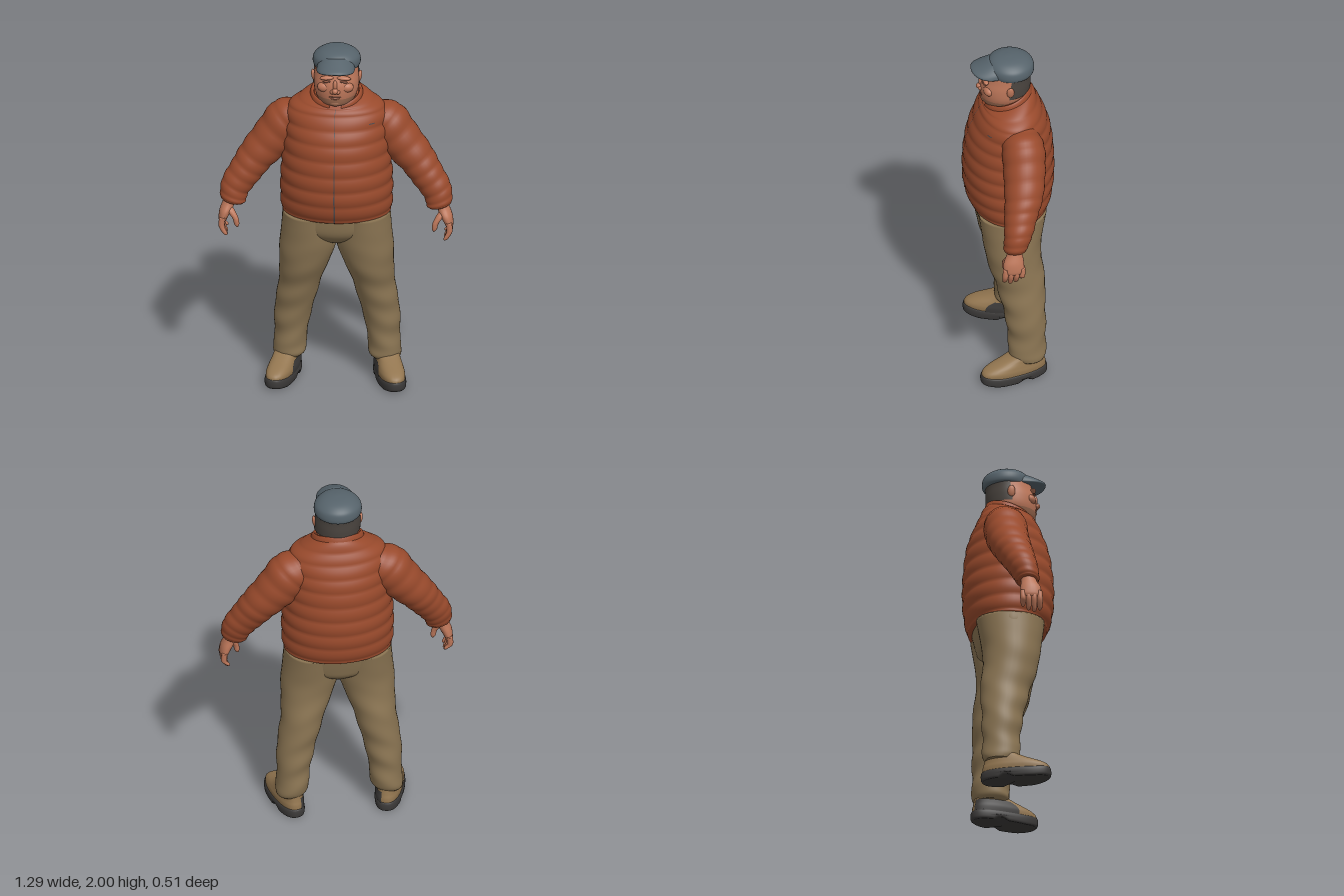
import * as THREE from 'three';

const mat = (name, color, side = THREE.FrontSide) => {
  const m = new THREE.MeshStandardMaterial({ color, side });
  m.name = name;
  return m;
};

// Smooth interpolation between section rows; t counts in rows
function sample(rows, t) {
  const i = Math.min(Math.floor(t), rows.length - 2), f = t - i;
  const at = k => rows[Math.max(0, Math.min(rows.length - 1, k))];
  return [0, 1, 2, 3, 4, 5, 6].map(c => {
    const [a, b, d, e] = [i - 1, i, i + 1, i + 2].map(k => at(k)[c] || 0);
    return b + 0.5 * f * (d - a + f * (2 * a - 5 * b + 4 * d - e + f * (3 * (b - d) + e - a)));
  });
}

// Skin over elliptical sections listed from bottom to top:
// [x, y, z, radiusX, radiusZ, roll in xy, slope along z]
function loft(rows, { side = 1, seg = 32, steps = 6, arc, span, grow = 0, puff = [0, 1], exp = 1, bend } = {}) {
  const [a0, a1] = arc || [0, Math.PI * 2];
  const [t0, t1] = span || [0, rows.length - 1];
  const rings = Math.max(2, Math.ceil((t1 - t0) * steps));
  const cols = arc ? seg + 1 : seg;
  const pos = [], idx = [], p = new THREE.Vector3();
  const power = v => Math.sign(v) * Math.abs(v) ** exp;
  const add = (s, u, w) => {
    p.set(s[0] + u * Math.cos(s[5]), s[1] + u * Math.sin(s[5]) + w * s[6], s[2] + w);
    if (bend) bend(p);
    pos.push(p.x * side, p.y, p.z);
  };
  const tri = (a, b, c) => (side > 0 ? idx.push(a, b, c) : idx.push(a, c, b));
  for (let i = 0; i <= rings; i++) {
    const t = t0 + (t1 - t0) * i / rings, s = sample(rows, t);
    const swell = 1 + puff[0] * (Math.abs(Math.sin(t * Math.PI * puff[1])) - 0.6);
    for (let j = 0; j < cols; j++) {
      const a = a0 + (a1 - a0) * j / seg;
      add(s, (s[3] * swell + grow) * power(Math.cos(a)), (s[4] * swell + grow) * power(Math.sin(a)));
    }
  }
  for (let i = 0; i < rings; i++) {
    for (let j = 0; j < seg; j++) {
      const a = i * cols + j, b = i * cols + (j + 1) % cols, c = a + cols, d = b + cols;
      tri(a, c, b);
      tri(b, c, d);
    }
  }
  if (!arc) {
    // Closed ends
    const low = pos.length / 3, high = low + 1, last = rings * cols;
    add(sample(rows, t0), 0, 0);
    add(sample(rows, t1), 0, 0);
    for (let j = 0; j < cols; j++) {
      tri(low, j, (j + 1) % cols);
      tri(high, last + (j + 1) % cols, last + j);
    }
  }
  const g = new THREE.BufferGeometry();
  g.setAttribute('position', new THREE.Float32BufferAttribute(pos, 3));
  g.setIndex(idx);
  g.computeVertexNormals();
  return g;
}

export function createModel() {
  const model = new THREE.Group();
  model.name = 'standingMan';
  const jacket = mat('rust jacket', 0x994a2c, THREE.DoubleSide), pants = mat('khaki trousers', 0x8b7553);
  const skin = mat('skin', 0xbd775a), shade = mat('dark skin', 0x8c5540), stubble = mat('stubble', 0x9c6a50);
  const capMat = mat('slate cap', 0x56636b), hair = mat('hair', 0x4a443f, THREE.DoubleSide);
  const boot = mat('tan boot', 0x937650), rubber = mat('dark rubber', 0x3c3a39, THREE.DoubleSide);
  const zip = mat('zip metal', 0x50484a, THREE.DoubleSide);
  const put = (name, geo, m) => {
    const mesh = new THREE.Mesh(geo, m);
    mesh.name = name;
    model.add(mesh);
    return mesh;
  };
  const blob = (name, m, x, y, z, rx, ry, rz, tilt = 0) => {
    const mesh = put(name, new THREE.SphereGeometry(1, 20, 14), m);
    mesh.position.set(x, y, z);
    mesh.scale.set(rx, ry, rz);
    mesh.rotation.z = tilt;
  };
  const PI = Math.PI;

  // Padded jacket body, zip and chest pocket
  const torso = [
    [0, 1.02, -0.005, 0.285, 0.2], [0, 1.045, -0.003, 0.302, 0.222], [0, 1.13, 0, 0.308, 0.243],
    [0, 1.22, 0, 0.308, 0.25], [0, 1.31, 0, 0.303, 0.25], [0, 1.4, -0.002, 0.296, 0.243],
    [0, 1.49, -0.005, 0.289, 0.231], [0, 1.57, -0.01, 0.283, 0.208], [0, 1.645, -0.012, 0.27, 0.177],
    [0, 1.695, -0.008, 0.215, 0.152, 0, -0.1], [0, 1.735, 0, 0.14, 0.13, 0, -0.3], [0, 1.75, 0, 0.09, 0.09, 0, -0.3],
  ];
  const pad = { puff: [0.028, 1], steps: 8 };
  put('jacketBody', loft(torso, { ...pad, seg: 64 }), jacket);
  put('lowerZip', loft(torso, { ...pad, seg: 2, arc: [PI / 2 - 0.013, PI / 2 + 0.013], span: [0.6, 3.2], grow: 0.003 }), zip);
  put('upperZip', loft(torso, { ...pad, seg: 2, arc: [PI / 2 - 0.006, PI / 2 + 0.006], span: [3.2, 9.4], grow: 0.002 }), zip);
  put('chestPocketZip', loft(torso, { ...pad, seg: 4, arc: [0.72, 0.86], span: [7.35, 7.43], grow: 0.004 }), zip);

  // Standing collar, open at the throat
  put('collar', loft([
    [0, 1.69, 0, 0.145, 0.135, 0, -0.35], [0, 1.715, 0.003, 0.148, 0.137, 0, -0.35], [0, 1.745, 0.006, 0.141, 0.13, 0, -0.35],
    [0, 1.755, 0.006, 0.132, 0.122, 0, -0.35], [0, 1.745, 0.006, 0.123, 0.114, 0, -0.35], [0, 1.69, 0, 0.11, 0.105, 0, -0.35],
  ], { seg: 48, arc: [PI / 2 + 0.22, PI * 2.5 - 0.22] }), jacket);

  // Hips
  put('hips', loft([
    [0, 0.86, -0.01, 0.1, 0.11], [0, 0.9, -0.005, 0.23, 0.155], [0, 0.95, 0, 0.295, 0.178], [0, 1.04, -0.005, 0.294, 0.196],
  ], { seg: 48 }), pants);

  for (const side of [1, -1]) {
    const label = side > 0 ? 'left' : 'right';

    // Padded sleeve from cuff to shoulder
    put(label + 'Sleeve', loft([
      [0.572, 1.08, 0.045, 0.058, 0.055, 0.25], [0.568, 1.1, 0.043, 0.074, 0.066, 0.32], [0.553, 1.165, 0.025, 0.083, 0.078, 0.52],
      [0.5, 1.245, 0.003, 0.091, 0.092, 0.58], [0.44, 1.33, -0.022, 0.101, 0.106, 0.58], [0.345, 1.44, -0.04, 0.117, 0.116, 0.62],
      [0.265, 1.545, -0.045, 0.122, 0.118, 0.8], [0.18, 1.58, -0.04, 0.1, 0.1, 1],
    ], { side, puff: [0.05, 1.5], steps: 10, seg: 36 }), jacket);

    // Hand with four fingers and a thumb
    put(label + 'Palm', loft([
      [0.622, 0.965, 0.058, 0.018, 0.045], [0.62, 0.985, 0.058, 0.025, 0.056], [0.606, 1.03, 0.058, 0.034, 0.056],
      [0.588, 1.075, 0.05, 0.036, 0.043], [0.572, 1.12, 0.045, 0.035, 0.04],
    ], { side, seg: 20 }), skin);
    for (let i = 0; i < 4; i++) {
      const z = 0.012 + 0.031 * i, tip = [0.915, 0.895, 0.888, 0.898][i];
      put(label + 'Finger', loft([
        [0.6, tip, z + 0.004, 0.005, 0.005], [0.607, tip + 0.012, z + 0.004, 0.013, 0.013],
        [0.626, 0.95, z + 0.002, 0.016, 0.016], [0.622, 1.0, z, 0.017, 0.016],
      ], { side, seg: 12 }), skin);
    }
    put(label + 'Thumb', loft([
      [0.54, 0.945, 0.1, 0.005, 0.005], [0.543, 0.96, 0.1, 0.014, 0.014], [0.55, 0.995, 0.098, 0.017, 0.017],
      [0.575, 1.035, 0.085, 0.022, 0.02], [0.59, 1.06, 0.07, 0.018, 0.018],
    ], { side, seg: 12 }), skin);

    // Trouser leg with soft folds
    put(label + 'TrouserLeg', loft([
      [0.27, 0.12, -0.07, 0.082, 0.09], [0.262, 0.145, -0.065, 0.092, 0.105], [0.258, 0.2, -0.067, 0.088, 0.102],
      [0.251, 0.3, -0.064, 0.095, 0.107], [0.24, 0.4, -0.058, 0.104, 0.113], [0.22, 0.5, -0.047, 0.111, 0.125],
      [0.2, 0.6, -0.037, 0.118, 0.138], [0.178, 0.71, -0.012, 0.137, 0.15], [0.158, 0.82, 0, 0.156, 0.158],
      [0.15, 0.92, 0, 0.154, 0.172], [0.147, 1.03, -0.003, 0.148, 0.188],
    ], {
      side, seg: 36, bend: p => {
        const fold = 0.006 * Math.sin(p.y * 42 + p.x * 18 + p.z * 9) * Math.max(0, 1 - p.y);
        p.x += fold * 0.6;
        p.z += fold;
      },
    }), pants);

    // Boot with toes turned out
    const turn = p => {
      const { x, z } = p;
      p.x = 0.292 + x * 0.964 + z * 0.266;
      p.z = 0.012 - x * 0.266 + z * 0.964;
    };
    const upper = [
      [0, 0.04, 0, 0.07, 0.188], [0, 0.075, 0, 0.073, 0.186], [0, 0.1, -0.014, 0.069, 0.166],
      [0, 0.13, -0.052, 0.064, 0.123], [0, 0.16, -0.085, 0.065, 0.092], [0, 0.2, -0.086, 0.06, 0.08],
    ];
    put(label + 'Boot', loft(upper, { side, exp: 0.85, bend: turn }), boot);
    put(label + 'InnerHeelGuard', loft(upper, {
      side, exp: 0.85, seg: 14, arc: [PI * 0.92, PI * 1.42], span: [0, 2.6], grow: 0.004, bend: turn,
    }), rubber);
    put(label + 'Sole', loft([
      [0, 0, 0, 0.07, 0.183], [0, 0.01, 0, 0.076, 0.193], [0, 0.035, 0, 0.078, 0.195], [0, 0.052, 0, 0.074, 0.191], [0, 0.056, 0, 0.064, 0.18],
    ], {
      side, exp: 0.82, seg: 48, bend: p => {
        if (p.y < 0.025 && Math.abs(p.z + 0.045) < 0.035) p.y += 0.016;
        if (p.z > 0.1) p.y += (p.z - 0.1) * 0.12;
        turn(p);
      },
    }), rubber);

    // Ear, brow, eye, cheek
    blob(label + 'Ear', skin, side * 0.127, 1.832, 0.005, 0.012, 0.034, 0.021, side * -0.15);
    blob(label + 'Brow', skin, side * 0.046, 1.872, 0.131, 0.04, 0.012, 0.017, side * -0.08);
    blob(label + 'Eye', shade, side * 0.046, 1.852, 0.137, 0.023, 0.005, 0.011, side * -0.1);
    blob(label + 'Cheek', skin, side * 0.058, 1.812, 0.116, 0.042, 0.03, 0.03);
    blob(label + 'Nostril', skin, side * 0.015, 1.798, 0.155, 0.013, 0.012, 0.014);
  }

  // Head with stubble and hair following its surface
  const head = [
    [0, 1.64, -0.005, 0.09, 0.09], [0, 1.695, 0.015, 0.085, 0.1], [0, 1.715, 0.025, 0.098, 0.118], [0, 1.765, 0.021, 0.12, 0.133],
    [0, 1.82, 0.018, 0.124, 0.137], [0, 1.87, 0.01, 0.12, 0.129], [0, 1.93, 0, 0.112, 0.12], [0, 1.96, 0, 0.08, 0.09],
  ];
  put('head', loft(head, { seg: 40 }), skin);
  put('stubble', loft(head, { seg: 30, arc: [0.1, PI - 0.1], span: [1.2, 2.75], grow: 0.002 }), stubble);
  put('hair', loft(head, { seg: 36, arc: [PI * 1.02, PI * 1.98], span: [3.3, 6], grow: 0.005 }), hair);
  blob('noseBridge', skin, 0, 1.834, 0.15, 0.012, 0.032, 0.014);
  blob('noseTip', skin, 0, 1.805, 0.16, 0.017, 0.017, 0.018);
  blob('mouth', shade, 0, 1.766, 0.15, 0.034, 0.004, 0.008);
  blob('lowerLip', skin, 0, 1.757, 0.148, 0.025, 0.007, 0.011);
  blob('chin', stubble, 0, 1.724, 0.128, 0.036, 0.022, 0.024);

  // Flat cap: crown and peak
  put('capCrown', loft([
    [0, 1.89, -0.014, 0.112, 0.116], [0, 1.9, -0.014, 0.127, 0.127], [0, 1.925, -0.012, 0.132, 0.131], [0, 1.955, -0.01, 0.124, 0.125],
    [0, 1.98, -0.006, 0.095, 0.1], [0, 1.994, -0.003, 0.058, 0.062], [0, 2, 0, 0.012, 0.012],
  ], { seg: 48 }), capMat);
  put('capPeak', loft([
    [0, 1.914, 0.09, 0.09, 0.1], [0, 1.922, 0.092, 0.104, 0.114], [0, 1.934, 0.09, 0.104, 0.112],
    [0, 1.952, 0.07, 0.095, 0.092], [0, 1.974, 0.04, 0.07, 0.07],
  ], { seg: 40, exp: 0.9, bend: p => { p.y -= p.x * p.x * 1.6; } }), capMat);

  return model;
}
